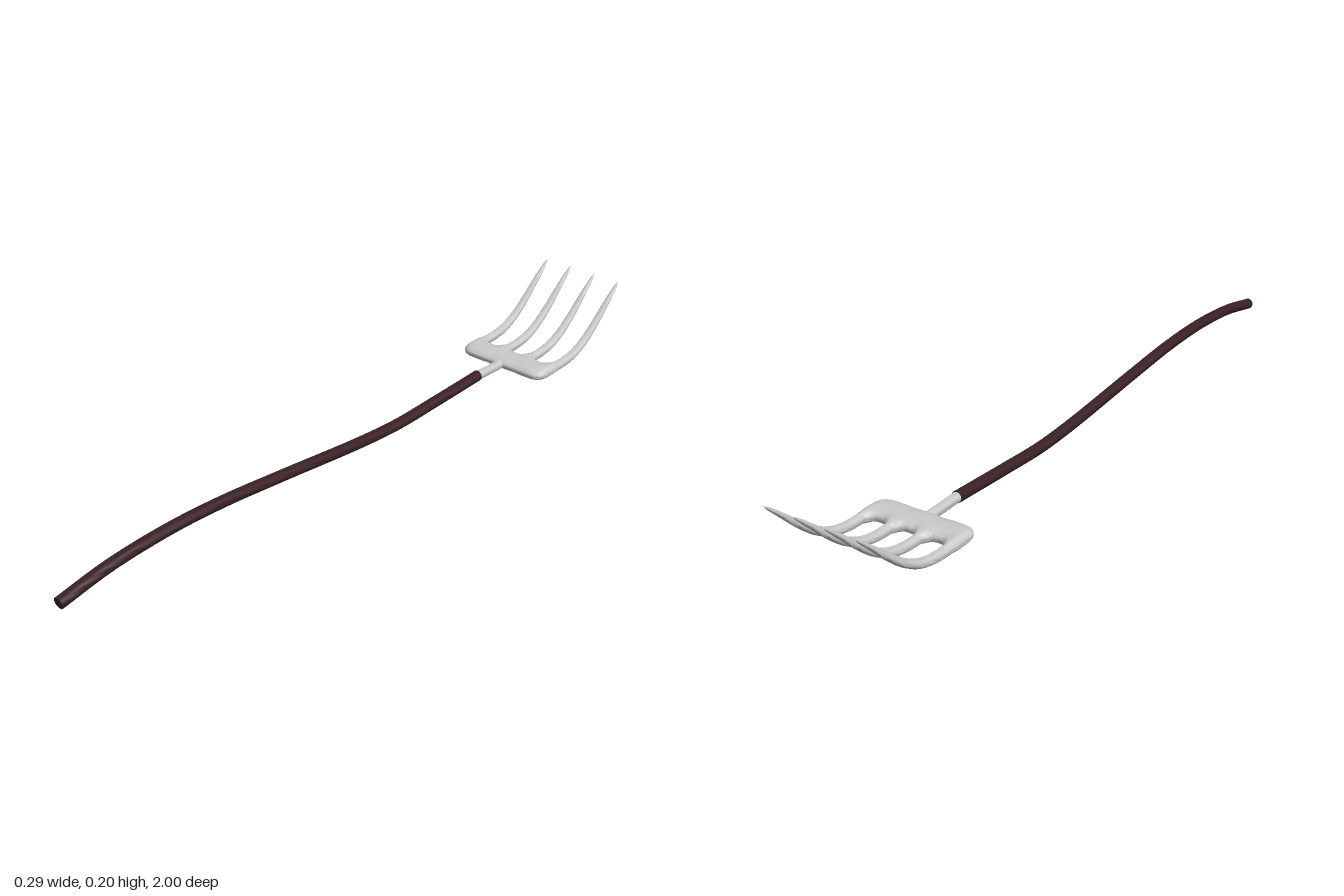
import * as THREE from 'three';
import { toCreasedNormals } from 'three/addons/utils/BufferGeometryUtils.js';

// Skin a list of equal-length rings and close both ends with fans.
function loft(rings) {
  const n = rings[0].length, m = rings.length, pos = [], idx = [];
  rings.forEach(r => r.forEach(p => pos.push(p.x, p.y, p.z)));
  [rings[0], rings[m - 1]].forEach(r => {
    const c = new THREE.Vector3();
    r.forEach(p => c.addScaledVector(p, 1 / n));
    pos.push(c.x, c.y, c.z);
  });
  for (let j = 0; j < n; j++) {
    const k = (j + 1) % n, e = (m - 1) * n;
    for (let i = 0; i < m - 1; i++) {
      const a = i * n + j, b = i * n + k;
      idx.push(a, a + n, b, b, a + n, b + n);
    }
    idx.push(m * n, j, k, m * n + 1, e + k, e + j);
  }
  const g = new THREE.BufferGeometry();
  g.setAttribute('position', new THREE.Float32BufferAttribute(pos, 3));
  g.setIndex(idx);
  return toCreasedNormals(g, 0.8);
}

// Sweep an ellipse along a curve in the y-z plane, travelling towards -z.
function sweep(points, steps, sides, radii) {
  const curve = new THREE.CatmullRomCurve3(points.map(([z, y]) => new THREE.Vector3(0, y, z)));
  const rings = [];
  for (let i = 0; i <= steps; i++) {
    const t = i / steps, c = curve.getPointAt(t), d = curve.getTangentAt(t);
    const [rx, ry] = radii(t), ring = [];
    for (let j = 0; j < sides; j++) {
      const a = (j / sides) * Math.PI * 2, s = ry * Math.sin(a);
      ring.push(new THREE.Vector3(rx * Math.cos(a), c.y - d.z * s, c.z + d.y * s));
    }
    rings.push(ring);
  }
  return loft(rings);
}

const tineX = [-0.128, -0.043, 0.043, 0.128];

// Shoulder plate: rounded sections across x, scalloped where the tines leave it.
function shoulderGeometry() {
  const half = 0.143, steps = 96, sides = 24, rings = [];
  for (let i = 0; i <= steps; i++) {
    const x = half * Math.cos((i / steps) * Math.PI) * 0.9999;
    const inset = half - Math.abs(x);
    const near = Math.min(...tineX.map(t => Math.abs(x - t)));
    const flare = Math.exp(-((near / 0.016) ** 2));
    const round = r => inset >= r ? 0 : r - Math.sqrt(r * r - (r - inset) ** 2);
    const back = -0.6 - round(0.035);
    const front = -0.683 - 0.035 * flare + round(0.014);
    const h = 0.0165 - round(0.0165);
    const mid = (back + front) / 2, depth = (back - front) / 2, ring = [];
    for (let j = 0; j < sides; j++) {
      const a = (j / sides) * Math.PI * 2, c = Math.cos(a), s = Math.sin(a);
      const y = Math.sign(c) * Math.abs(c) ** 0.75 * h;
      const z = Math.sign(s) * Math.abs(s) ** 0.75 * depth;
      ring.push(new THREE.Vector3(x, 0.0265 + y, mid + z));
    }
    rings.push(ring);
  }
  return loft(rings);
}

export function createModel() {
  const wood = new THREE.MeshStandardMaterial({ color: 0x3a2024 });
  wood.name = 'dark wood';
  const steel = new THREE.MeshStandardMaterial({ color: 0xcacaca });
  steel.name = 'steel';
  const model = new THREE.Group();
  model.name = 'pitchfork';
  const add = (name, geometry, material, x = 0) => {
    const mesh = new THREE.Mesh(geometry, material);
    mesh.name = name;
    mesh.position.x = x;
    model.add(mesh);
  };

  // Gently S-curved handle
  add('handle', sweep([[0.997, 0.04], [0.85, 0.066], [0.67, 0.077], [0.5, 0.072], [0.3, 0.054],
    [0, 0.024], [-0.15, 0.016], [-0.3, 0.021], [-0.5, 0.03]], 48, 16, () => [0.0155, 0.0155]), wood);

  // Metal neck and shoulder
  add('neck', sweep([[-0.49, 0.03], [-0.56, 0.028], [-0.64, 0.0265]], 6, 16, () => [0.0135, 0.0135]), steel);
  add('shoulder', shoulderGeometry(), steel);

  // Four upswept tapering tines
  const tine = sweep([[-0.64, 0.026], [-0.7, 0.026], [-0.75, 0.028], [-0.8, 0.039], [-0.85, 0.065],
    [-0.9, 0.104], [-0.95, 0.15], [-1, 0.195]], 32, 16, t => {
    const w = Math.sqrt(Math.max(0, 1 - t ** 3.2));
    return [0.0008 + 0.0128 * w * (1 - 0.12 * t), 0.0008 + 0.0138 * w * (1 - 0.4 * t)];
  });
  tineX.forEach((x, i) => add('tine' + (i + 1), tine, steel, x));
  return model;
}
